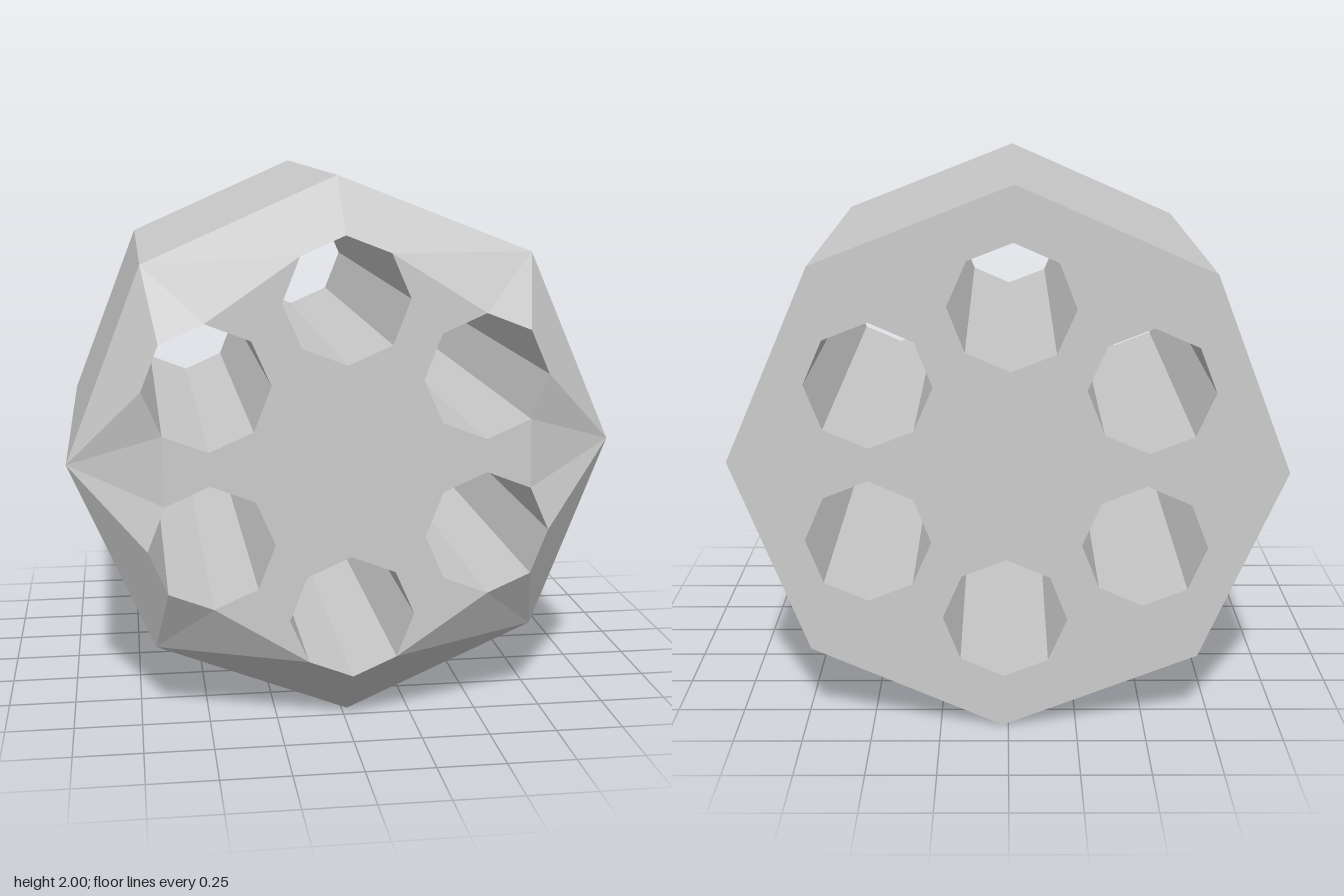
import * as THREE from 'three';

const BACK = -0.875, SHOULDER = 0.69, FRONT = 0.875;
const TWIST = 91.2; // degrees: direction of the first corner

// point on a circle, stepping clockwise as seen from the front
function polar(cx, cy, r, deg) {
  const a = THREE.MathUtils.degToRad(deg);
  return new THREE.Vector2(cx + r * Math.cos(a), cy + r * Math.sin(a));
}
const octagon = (cx, cy, r) =>
  Array.from({ length: 8 }, (_, i) => polar(cx, cy, r, TWIST - 45 * i));

const at = (p, z) => new THREE.Vector3(p.x, p.y, z);

function facets(points) {
  const g = new THREE.BufferGeometry().setFromPoints(points);
  g.computeVertexNormals();
  return g;
}

// flat-sided tube wall; a clockwise outline faces outward
function wall(outline, z0, z1) {
  const pts = [];
  outline.forEach((a, i) => {
    const b = outline[(i + 1) % outline.length];
    pts.push(at(a, z1), at(b, z1), at(b, z0), at(a, z1), at(b, z0), at(a, z0));
  });
  return facets(pts);
}

export function createModel() {
  const group = new THREE.Group();
  const material = new THREE.MeshStandardMaterial({ color: 0xcccccc, flatShading: true });
  const add = (name, geometry) => {
    const mesh = new THREE.Mesh(geometry, material);
    mesh.name = name;
    group.add(mesh);
  };

  const rim = octagon(0, 1, 1);
  const holes = Array.from({ length: 6 }, (_, k) => {
    const c = polar(0, 1, 0.575, TWIST - 60 * k);
    return octagon(c.x, c.y, 0.227);
  });

  // Body and the six bores running through it
  add('bodySides', wall(rim, BACK, SHOULDER));
  holes.forEach((h, k) => add('bore' + (k + 1), wall([...h].reverse(), BACK, FRONT)));

  // Back face with six openings, drawn mirrored and turned to face -z
  const mirror = (pts) => pts.map((p) => new THREE.Vector2(-p.x, p.y));
  const backShape = new THREE.Shape(mirror(rim));
  holes.forEach((h) => backShape.holes.push(new THREE.Path(mirror(h))));
  add('backFace', new THREE.ShapeGeometry(backShape).rotateY(Math.PI).translate(0, 0, BACK));

  // First and last corner of each bore that lies on the chamfer's inner edge
  const arcs = [[7, 9], [0, 3], [1, 4], [3, 5], [4, 7], [5, 8]];

  // Front face: follows the inner side of every bore
  const inner = [];
  arcs.forEach(([first, last], k) => {
    for (let j = first + 8; j >= last; j--) inner.push(holes[k][j % 8]);
  });
  add('frontFace', new THREE.ShapeGeometry(new THREE.Shape(inner)).translate(0, 0, FRONT));

  // Faceted chamfer: each rim corner fans to a stretch of the inner edge
  const edge = [];
  arcs.forEach(([first, last], k) => {
    for (let j = first; j <= last; j++) edge.push(holes[k][j % 8]);
  });
  const fanSteps = [2, 3, 3, 3, 2, 3, 3, 3];
  const chamfer = [];
  let e = 0;
  fanSteps.forEach((steps, i) => {
    const corner = at(rim[i], SHOULDER);
    for (let s = 0; s < steps; s++, e++) {
      chamfer.push(corner, at(edge[e], FRONT), at(edge[(e + 1) % edge.length], FRONT));
    }
    chamfer.push(corner, at(edge[e % edge.length], FRONT), at(rim[(i + 1) % 8], SHOULDER));
  });
  add('frontChamfer', facets(chamfer));

  return group;
}
